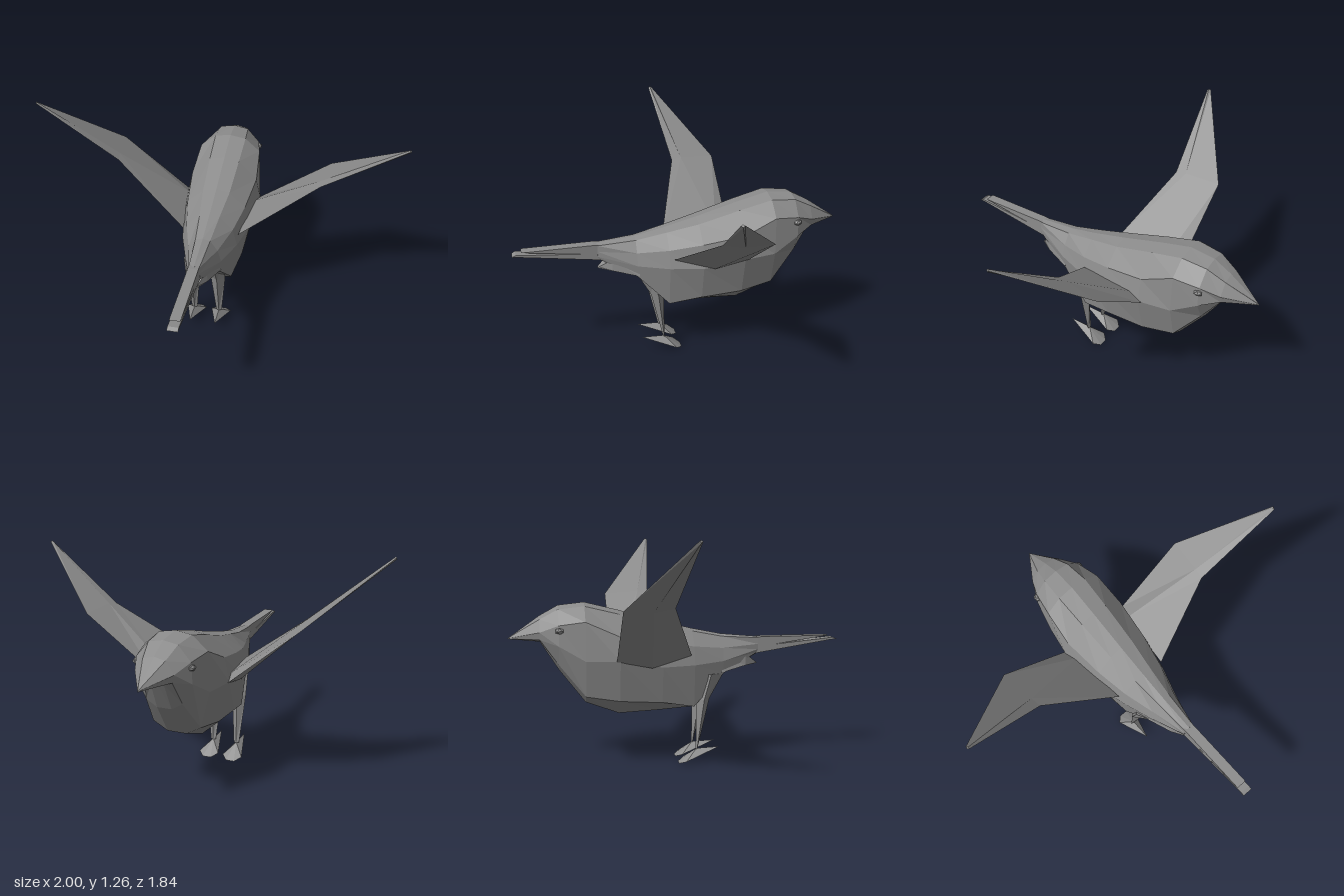
import * as THREE from 'three';
import { ConvexGeometry } from 'three/addons/geometries/ConvexGeometry.js';

const material = new THREE.MeshStandardMaterial({ color: 0x8c8c8c, flatShading: true, side: THREE.DoubleSide });

function part(name, geometry, parent) {
  const mesh = new THREE.Mesh(geometry, material);
  mesh.name = name;
  parent.add(mesh);
  return mesh;
}

// Faceted skin over rings of [x, y, z]; each ring runs clockwise seen from the last ring.
function loft(rings) {
  const out = [];
  const tri = (...points) => points.forEach((p) => out.push(...p));
  const n = rings[0].length;
  for (let i = 0; i < rings.length - 1; i++) {
    for (let j = 0; j < n; j++) {
      const k = (j + 1) % n;
      const a = rings[i][j], b = rings[i][k], c = rings[i + 1][k], d = rings[i + 1][j];
      tri(a, d, b);
      tri(b, d, c);
    }
  }
  const first = rings[0], last = rings[rings.length - 1];
  for (let j = 1; j < n - 1; j++) {
    tri(first[0], first[j], first[j + 1]);
    tri(last[0], last[j + 1], last[j]);
  }
  const geometry = new THREE.BufferGeometry();
  geometry.setAttribute('position', new THREE.Float32BufferAttribute(out, 3));
  geometry.computeVertexNormals();
  return geometry;
}

const mirror = (rings) => rings.map((ring) => ring.map(([x, y, z]) => [-x, y, z]).reverse());

// Body from beak to rump: z, top y, four half-profile points (x, y), bottom y
const stations = [
  [-0.92, 0.71, 0, 0.71, 0, 0.708, 0, 0.706, 0, 0.705, 0.705],
  [-0.75, 0.83, 0.06, 0.815, 0.105, 0.75, 0.095, 0.71, 0.05, 0.695, 0.69],
  [-0.65, 0.885, 0.08, 0.87, 0.148, 0.79, 0.155, 0.68, 0.1, 0.57, 0.535],
  [-0.51, 0.9, 0.09, 0.885, 0.176, 0.81, 0.185, 0.6, 0.135, 0.4, 0.355],
  [-0.33, 0.855, 0.085, 0.84, 0.19, 0.73, 0.217, 0.6, 0.16, 0.375, 0.29],
  [-0.1, 0.79, 0.075, 0.775, 0.165, 0.69, 0.195, 0.56, 0.155, 0.36, 0.3],
  [0.08, 0.745, 0.055, 0.735, 0.13, 0.66, 0.155, 0.56, 0.125, 0.325, 0.31],
  [0.25, 0.71, 0.04, 0.7, 0.08, 0.64, 0.1, 0.57, 0.09, 0.5, 0.49],
  [0.46, 0.69, 0.028, 0.685, 0.03, 0.65, 0.03, 0.62, 0.025, 0.605, 0.597],
];

function bodyRing([z, top, ax, ay, bx, by, cx, cy, dx, dy, bottom]) {
  const half = [[ax, ay], [bx, by], [cx, cy], [dx, dy], [dx * 0.4, bottom]];
  return [
    [0, top, z],
    ...half.map(([x, y]) => [x, y, z]),
    ...half.reverse().map(([x, y]) => [-x, y, z]),
  ];
}

// Thin raised wing: root, bend and tip, each as ridge, leading edge, underside, trailing edge
function wingRings(midX, tipX, lift) {
  const y = 0.885 + lift * 0.5, tipY = 1.21 + lift;
  return [
    [[0.19, 0.622, -0.27], [0.215, 0.6, -0.35], [0.208, 0.56, -0.16], [0.155, 0.615, 0.06]],
    [[midX - 0.025, y + 0.015, -0.15], [midX, y, -0.35], [midX - 0.012, y - 0.01, -0.2], [midX - 0.035, y + 0.008, -0.09]],
    [[tipX - 0.008, tipY, -0.045], [tipX, tipY - 0.003, -0.054], [tipX, tipY - 0.012, -0.045], [tipX - 0.008, tipY - 0.006, -0.036]],
  ];
}

// Diamond section across a leg
const legRing = (x, y, w, back, front) => {
  const mid = (back + front) / 2;
  return [[x, y, back], [x + w, y, mid], [x, y, front], [x - w, y, mid]];
};

export function createModel() {
  const model = new THREE.Group();
  model.name = 'bird';
  const bird = new THREE.Group();
  bird.name = 'birdParts';
  bird.position.x = -0.018;
  model.add(bird);

  part('body', loft(stations.map(bodyRing)), bird);

  part('leftWing', loft(wingRings(0.61, 1.018, 0)), bird);
  part('rightWing', loft(mirror(wingRings(0.59, 0.982, 0.05))), bird);

  // Narrow forked tail, profile drawn as (z, y)
  const profile = [[0.36, 0.68], [0.48, 0.69], [0.87, 0.69], [0.55, 0.645], [0.9, 0.678], [0.92, 0.668], [0.88, 0.664], [0.4, 0.59], [0.36, 0.6]];
  const tail = new THREE.ExtrudeGeometry(new THREE.Shape(profile.map(([z, y]) => new THREE.Vector2(z, y))), { depth: 0.056, bevelEnabled: false });
  tail.rotateY(-Math.PI / 2).translate(0.028, 0, 0);
  part('tail', tail, bird);

  // Pointed tuft below the tail
  part('tailTuft', loft([
    [[-0.07, 0.6, 0.24], [0.07, 0.6, 0.24], [0.1, 0.505, 0.24], [0, 0.485, 0.24], [-0.1, 0.505, 0.24]],
    [[-0.05, 0.6, 0.385], [0.05, 0.6, 0.385], [0.055, 0.535, 0.385], [0, 0.522, 0.385], [-0.055, 0.535, 0.385]],
    [[-0.008, 0.545, 0.455], [0.008, 0.545, 0.455], [0.01, 0.54, 0.46], [0, 0.537, 0.46], [-0.01, 0.54, 0.46]],
  ]), bird);

  for (const [side, s] of [['left', 1], ['right', -1]]) {
    const x = 0.073 * s - 0.014;

    // Tapering leg
    part(side + 'Leg', loft([
      legRing(x, 0.5, 0.04, 0.25, 0.1),
      legRing(x, 0.36, 0.042, 0.172, 0.1),
      legRing(x, 0.075, 0.016, 0.106, 0.096),
    ]), bird);

    // Fan-shaped foot with one toe point behind
    const foot = [[0, 0.08, 0.1], [0, 0.085, 0.23], [-0.058, 0.02, 0.035], [-0.025, 0.003, 0], [0.025, 0.003, 0], [0.058, 0.02, 0.035]];
    part(side + 'Foot', new ConvexGeometry(foot.map(([dx, y, z]) => new THREE.Vector3(x + dx, y - 0.003, z))), bird);

    // Small bead eye
    const eye = part(side + 'Eye', new THREE.IcosahedronGeometry(0.026, 0), bird);
    eye.position.set(0.15 * s, 0.762, -0.645);
    eye.scale.set(0.8, 0.7, 1);
  }
  return model;
}
